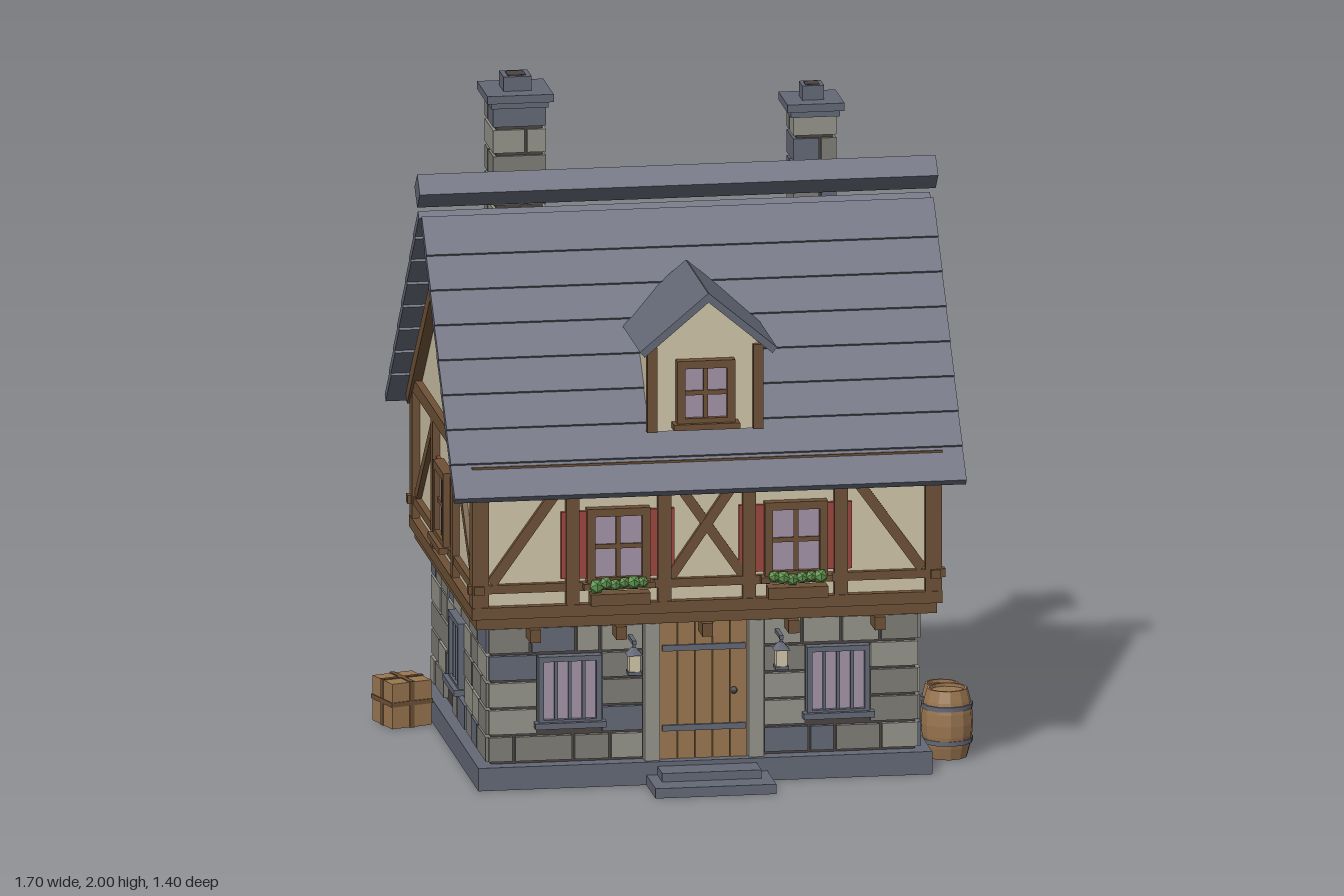
import * as THREE from 'three';

const material = (name, color) => {
  const m = new THREE.MeshStandardMaterial({ color });
  m.name = name;
  return m;
};
const plaster = material('plaster', 0xcfc4a8), timber = material('timber', 0x6e5136);
const plank = material('plank', 0x9a7650), paleStone = material('paleStone', 0x95948a);
const midStone = material('midStone', 0x7d7c76), slate = material('slate', 0x646876);
const mortar = material('mortar', 0x4a4442), glass = material('glass', 0xa393a8);
const red = material('shutterRed', 0x9c463c), leaf = material('leaf', 0x5b8f4a);

let seed = 7;
const rand = () => (seed = (seed * 16807) % 2147483647) / 2147483647;
const stoneColor = () => [paleStone, paleStone, midStone, midStone, slate][Math.floor(rand() * 5)];

function group(parent, name, x = 0, y = 0, z = 0, ry = 0) {
  const g = new THREE.Group();
  g.name = name;
  g.position.set(x, y, z);
  g.rotation.y = ry;
  parent.add(g);
  return g;
}
function mesh(parent, name, geo, mat, x = 0, y = 0, z = 0) {
  const m = new THREE.Mesh(geo, mat);
  m.name = name;
  m.position.set(x, y, z);
  parent.add(m);
  return m;
}
const box = (parent, name, mat, w, h, d, x, y, z) =>
  mesh(parent, name, new THREE.BoxGeometry(w, h, d), mat, x, y, z);

// straight beam between two points of a wall plane
function beam(parent, name, mat, x1, y1, x2, y2, width, depth, z) {
  const m = box(parent, name, mat, Math.hypot(x2 - x1, y2 - y1), width, depth, (x1 + x2) / 2, (y1 + y2) / 2, z);
  m.rotation.z = Math.atan2(y2 - y1, x2 - x1);
}
// house-shaped block with its gable facing z
function gableBlock(half, base, eave, apex, depth) {
  const s = new THREE.Shape();
  s.moveTo(-half, base); s.lineTo(half, base); s.lineTo(half, eave); s.lineTo(0, apex); s.lineTo(-half, eave);
  const g = new THREE.ExtrudeGeometry(s, { depth, bevelEnabled: false });
  return g.translate(0, 0, -depth / 2);
}
// framed window; upright bars only, or a cross of glazing bars
function windowUnit(parent, name, x, y, w, h, frame, barred) {
  const g = group(parent, name, x, y, 0), t = barred ? 0.016 : 0.024;
  box(g, 'glass', glass, w - t, h - t, 0.008, 0, 0, 0.012);
  for (const s of [-1, 1]) {
    box(g, 'frameSide', frame, t, h, 0.035, s * (w - t) / 2, 0, 0.015);
    box(g, 'frameRail', frame, w - 2 * t, t, 0.035, 0, s * (h - t) / 2, 0.015);
  }
  if (barred) for (const s of [-1, 0, 1]) box(g, 'bar', frame, 0.01, h - t, 0.012, s * w * 0.22, 0, 0.02);
  else {
    box(g, 'mullion', frame, 0.014, h - t, 0.014, 0, 0, 0.016);
    box(g, 'transom', frame, w - t, 0.014, 0.014, 0, 0, 0.016);
  }
  box(g, 'sill', frame, w + 0.025, 0.018, 0.05, 0, -h / 2, 0.022);
}
// coursed stones around openings [x0, x1, y0, y1]
function stoneWall(parent, half, openings) {
  const rows = 5, y0 = 0.075, rh = 0.083, gap = 0.009;
  for (let r = 0; r < rows; r++) {
    const lo = y0 + r * rh, hi = lo + rh;
    const cuts = openings.filter(o => o[2] < hi - 0.03 && o[3] > lo + 0.03).sort((a, b) => a[0] - b[0]);
    let start = -half;
    for (const [a, b] of [...cuts, [half, half]]) {
      const span = a - start, n = Math.max(1, Math.round(span / 0.13));
      const weights = Array.from({ length: n }, () => 0.6 + rand() * 0.8);
      const total = weights.reduce((p, q) => p + q, 0);
      for (const k of weights) {
        const w = span * k / total;
        if (w > 0.02 && rand() > 0.04)
          box(parent, 'stone', stoneColor(), w - gap, rh - gap, 0.02 + rand() * 0.008, start + w / 2, (lo + hi) / 2, 0.003);
        start += w;
      }
      start = b;
    }
  }
}
function barrel(parent, x, z, r, h) {
  const g = group(parent, 'barrel', x, 0, z);
  const at = t => r * (1 - 0.22 * (2 * t - 1) ** 2);
  const pts = [new THREE.Vector2(0, 0)];
  for (let i = 0; i <= 6; i++) pts.push(new THREE.Vector2(at(i / 6), h * i / 6));
  pts.push(new THREE.Vector2(r * 0.68, h), new THREE.Vector2(r * 0.68, h - 0.01), new THREE.Vector2(0, h - 0.01));
  const geo = new THREE.LatheGeometry(pts, 12).toNonIndexed();
  geo.computeVertexNormals();
  mesh(g, 'staves', geo, plank);
  for (const t of [0.25, 0.75])
    mesh(g, 'hoop', new THREE.CylinderGeometry(at(t) + 0.004, at(t) + 0.004, 0.014, 12), slate, 0, h * t, 0);
}
function chimney(parent, x, z, w, capW, potW, top) {
  const g = group(parent, 'chimney', x, 0, z), rh = 0.08, capY = top - 0.07;
  box(g, 'core', mortar, w - 0.02, capY - 1.15, w - 0.02, 0, (capY + 1.15) / 2, 0);
  for (let i = 0; i < 9; i++) {
    const y = capY - rh * (i + 0.5);
    const split = (i % 2 ? 0.12 : -0.12) * w;
    for (const s of [-1, 1]) {
      const len = w / 2 - s * split - 0.004;
      const cx = s * (w / 2 - len / 2);
      if (i % 2) box(g, 'stone', stoneColor(), len, rh - 0.01, w, cx, y, 0);
      else box(g, 'stone', stoneColor(), w, rh - 0.01, len, 0, y, cx);
    }
  }
  box(g, 'capStone', slate, capW * 0.86, 0.02, capW * 0.86, 0, capY - 0.008, 0);
  box(g, 'cap', slate, capW, 0.024, capW, 0, capY + 0.013, 0);
  box(g, 'pot', slate, potW, 0.045, potW, 0, top - 0.0235, 0);
  box(g, 'flue', mortar, potW * 0.65, 0.004, potW * 0.65, 0, top - 0.001, 0);
}

export function createModel() {
  const root = new THREE.Group();
  root.name = 'cottage';
  const house = group(root, 'house', 0.005, 0, -0.027);

  // ground floor
  box(house, 'plinth', slate, 1.37, 0.07, 1.126, 0, 0.035, 0);
  box(house, 'groundFloorCore', mortar, 1.28, 0.44, 1.03, 0, 0.28, 0);
  // upper floor and gables
  const upper = mesh(house, 'upperWalls', gableBlock(0.575, 0.51, 0.96, 1.515, 1.37), plaster);
  upper.rotation.y = Math.PI / 2;
  box(house, 'floorPlate', timber, 1.39, 0.036, 1.17, 0, 0.518, 0);
  for (const sx of [-1, 1]) for (const sz of [-1, 1])
    box(house, 'cornerPost', timber, 0.05, 0.44, 0.05, sx * 0.684, 0.76, sz * 0.572);

  for (let i = 0; i < 4; i++) {
    const side = i % 2 === 1, ry = i * Math.PI / 2;
    const name = ['front', 'right', 'back', 'left'][i];
    const out = d => [Math.sin(ry) * d, 0, Math.cos(ry) * d, ry];
    const low = group(house, name + 'GroundWall', ...out(side ? 0.64 : 0.515));
    const high = group(house, name + 'UpperWall', ...out(side ? 0.685 : 0.575));
    const half = side ? 0.597 : 0.71;

    const lowX = side ? [0] : [-0.405, 0.405];
    const holes = lowX.map(x => [x - 0.095, x + 0.095, 0.19, 0.4]);
    if (i === 0) holes.push([-0.18, 0.18, 0.06, 0.5]);
    stoneWall(low, side ? 0.527 : 0.652, holes);
    for (const x of lowX) windowUnit(low, 'barredWindow', x, 0.295, 0.19, 0.21, slate, true);

    // timber frame
    box(high, 'sillBeam', timber, half * 2, 0.036, 0.04, 0, 0.552, 0.005);
    box(high, 'lowerRail', timber, half * 2 + 0.02, 0.026, 0.03, 0, 0.624, 0.004);
    box(high, 'topBeam', timber, half * 2, 0.042, 0.04, 0, 0.98, 0.002);
    const posts = side ? [-0.187, 0.187] : [-0.405, -0.128, 0.128, 0.405];
    for (const x of posts) box(high, 'post', timber, 0.04, 0.42, 0.04, x, 0.765, 0.002);
    const inner = side ? 0.205 : 0.425;
    for (const s of [-1, 1]) {
      beam(high, 'brace', timber, s * (half - 0.06), 0.64, s * inner, 0.955, 0.032, 0.026, 0.003);
      if (side) beam(high, 'bargeBoard', timber, s * 0.615, 0.925, s * -0.008, 1.528, 0.042, 0.05, 0.006);
      else beam(high, 'crossBrace', timber, -0.11, 0.8 - s * 0.16, 0.11, 0.8 + s * 0.16, 0.03, 0.024 + s * 0.002, 0.003);
    }
    // shuttered windows
    for (const x of side ? [0] : [-0.268, 0.268]) {
      windowUnit(high, 'casement', x, 0.745, 0.19, 0.235, timber, false);
      for (const s of [-1, 1]) box(high, 'shutter', red, 0.085, 0.205, 0.016, x + s * 0.128, 0.75, 0.004);
      if (i === 0) {
        box(high, 'flowerBox', timber, 0.18, 0.035, 0.05, x, 0.592, 0.045);
        for (let k = 0; k < 6; k++)
          mesh(high, 'foliage', new THREE.IcosahedronGeometry(0.018 + rand() * 0.007, 0), leaf, x - 0.07 + k * 0.028, 0.625 + rand() * 0.014, 0.045);
      }
    }
    // joist ends
    if (!side) for (const x of [-0.52, -0.26, 0, 0.26, 0.52])
      box(high, 'joistEnd', timber, 0.032, 0.04, 0.1, x, 0.48, -0.015);
  }

  // door
  const door = group(house, 'door', 0, 0, 0.515);
  for (let k = -2; k <= 2; k++) box(door, 'doorPlank', plank, 0.05, 0.42, 0.02, k * 0.053, 0.28, 0.005);
  for (const y of [0.165, 0.41]) box(door, 'hinge', slate, 0.25, 0.018, 0.008, 0, y, 0.018);
  mesh(door, 'knob', new THREE.SphereGeometry(0.011, 8, 6), mortar, 0.09, 0.275, 0.022);
  for (const s of [-1, 1]) {
    box(door, 'doorJamb', paleStone, 0.046, 0.42, 0.045, s * 0.157, 0.28, 0.01);
    const lamp = group(door, 'lantern', s * 0.222, 0, 0.09);
    box(lamp, 'bracket', slate, 0.012, 0.012, 0.1, 0, 0.45, -0.04);
    box(lamp, 'hook', slate, 0.008, 0.03, 0.008, 0, 0.437, 0);
    const cap = mesh(lamp, 'lampCap', new THREE.CylinderGeometry(0.008, 0.034, 0.022, 4), slate, 0, 0.424, 0);
    cap.rotation.y = Math.PI / 4;
    box(lamp, 'lampGlass', plaster, 0.034, 0.05, 0.034, 0, 0.388, 0);
    box(lamp, 'lampBase', slate, 0.042, 0.01, 0.042, 0, 0.358, 0);
  }
  box(house, 'lowerStep', slate, 0.365, 0.03, 0.2, 0.005, 0.015, 0.635);
  box(house, 'upperStep', slate, 0.3, 0.026, 0.11, 0.005, 0.043, 0.6);

  // roof courses, each overlapping the one below
  const a = Math.PI / 4, c = Math.SQRT1_2, L = 0.146, t = 0.025;
  for (const ry of [0, Math.PI]) {
    const slope = group(house, ry ? 'backRoof' : 'frontRoof', 0, 0, 0, ry);
    for (let i = 0; i < 8; i++) {
      const z = 0.667 - 0.0767 * i, y = 0.925 + 0.0885 * i;
      const len = i === 7 ? L - 0.012 : L;
      const m = box(slope, 'slateCourse', slate, 1.545, t, len, 0, y + c * (len / 2 - t / 2), z - c * (len / 2 + t / 2));
      m.rotation.x = a;
    }
  }
  const ridge = box(house, 'ridgeCap', slate, 1.565, 0.072, 0.072, 0.002, 1.71, 0);
  ridge.rotation.x = a;

  // dormer
  const dormer = group(house, 'dormer', 0, 0, 0.55);
  mesh(dormer, 'dormerWalls', gableBlock(0.165, 1.08, 1.34, 1.49, 0.4), plaster, 0, 0, -0.2);
  for (const s of [-1, 1]) {
    box(dormer, 'dormerPost', timber, 0.03, 0.26, 0.03, s * 0.16, 1.21, 0);
    beam(dormer, 'dormerRoof', slate, s * 0.2, 1.335, s * -0.006, 1.508, 0.022, 0.43, -0.14);
  }
  windowUnit(dormer, 'dormerWindow', 0, 1.2, 0.175, 0.2, timber, false);

  chimney(root, -0.44, -0.272, 0.16, 0.2, 0.085, 2.0);
  chimney(root, 0.453, -0.268, 0.13, 0.172, 0.066, 1.937);

  // yard props
  barrel(root, 0.77, 0.312, 0.078, 0.21);
  barrel(root, 0.782, 0.132, 0.064, 0.18);
  const crate = group(root, 'crate', -0.77, 0, -0.35, 0.31);
  box(crate, 'crateBody', plank, 0.13, 0.138, 0.13, 0, 0.07, 0);
  box(crate, 'crateBand', timber, 0.137, 0.014, 0.137, 0, 0.075, 0);
  box(crate, 'crateStrapX', timber, 0.016, 0.142, 0.136, 0, 0.071, 0);
  box(crate, 'crateStrapZ', timber, 0.136, 0.142, 0.016, 0, 0.071, 0);
  return root;
}
